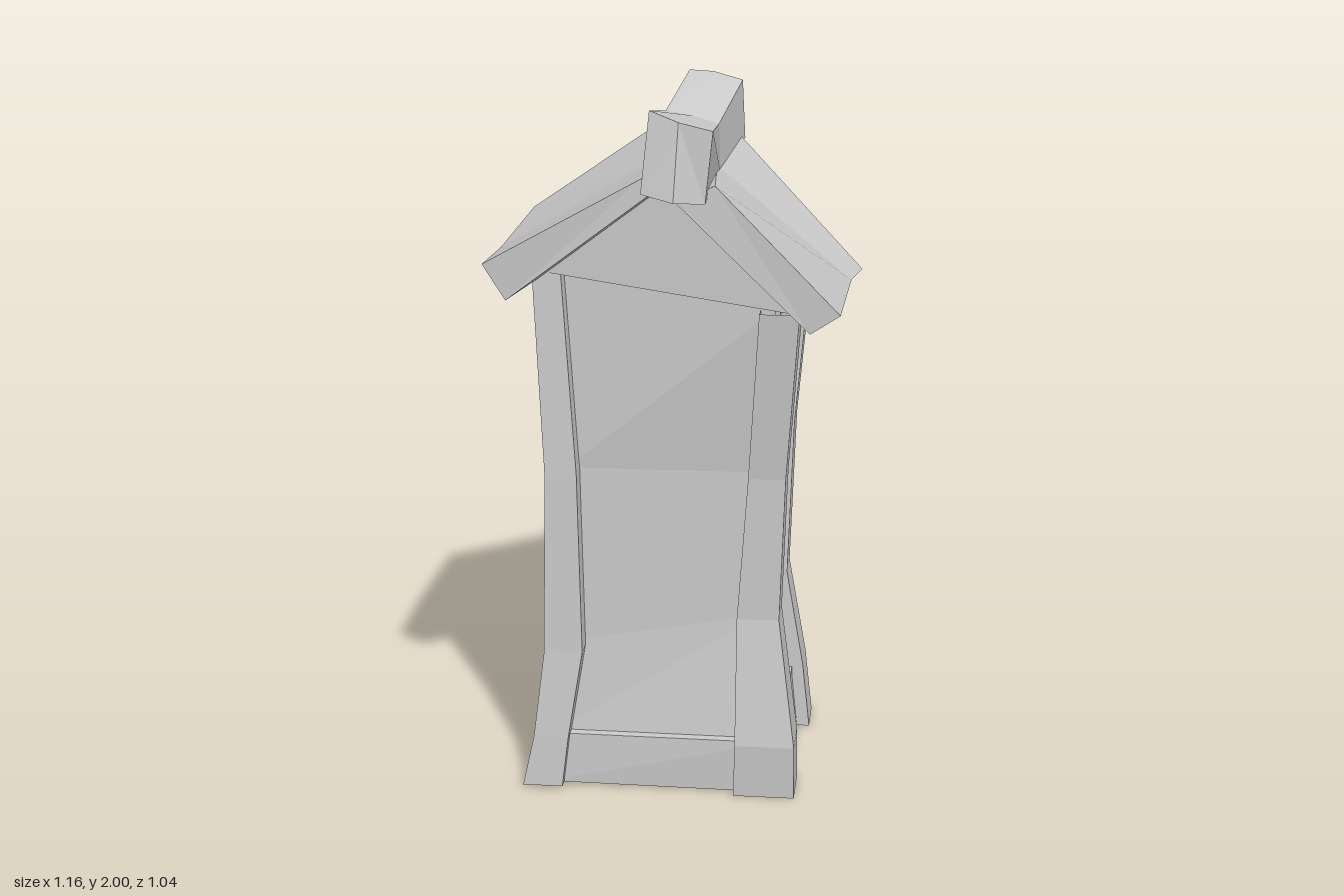
import * as THREE from 'three';

const TURN = 0.31; // the whole tower is twisted about y
const U = [Math.cos(TURN), 0, -Math.sin(TURN)]; // tower's own x direction
const V = [Math.sin(TURN), 0, Math.cos(TURN)]; // tower's own z direction
const add = (p, d, s) => p.map((v, i) => v + d[i] * s);
const mix = (a, b, t) => a.map((v, i) => v + (b[i] - v) * t);

const material = new THREE.MeshStandardMaterial({ color: 0xcccccc, flatShading: true, side: THREE.DoubleSide });

// Solid through matching cross-sections, wound outward by its signed volume
function loft(name, rows, capped = true) {
  const tris = [];
  const n = rows[0].length;
  const last = rows[rows.length - 1];
  for (let i = 0; i + 1 < rows.length; i++) {
    for (let j = 0; j < n; j++) {
      const k = (j + 1) % n;
      const a = rows[i][j], b = rows[i][k], c = rows[i + 1][k], d = rows[i + 1][j];
      tris.push([a, b, c], [a, c, d]);
    }
  }
  for (let j = 1; capped && j + 1 < n; j++) {
    tris.push([rows[0][0], rows[0][j + 1], rows[0][j]], [last[0], last[j], last[j + 1]]);
  }
  const origin = new THREE.Vector3(...mix(rows[0][0], last[2], 0.5));
  const vec = (p) => new THREE.Vector3(...p).sub(origin);
  const volume = tris.reduce((s, [a, b, c]) => s + vec(a).dot(vec(b).cross(vec(c))), 0);
  if (volume < 0) tris.forEach((t) => t.reverse());
  const geometry = new THREE.BufferGeometry();
  geometry.setAttribute('position', new THREE.Float32BufferAttribute(tris.flat(2), 3));
  geometry.computeVertexNormals();
  const mesh = new THREE.Mesh(geometry, material);
  mesh.name = name;
  return mesh;
}

// Outer edge of each corner post from ground to top, with its width (w) and depth (d)
const corners = {
  frontLeft: {
    sx: 1, sz: 1, w: [0.175, 0.17, 0.12, 0.105, 0.11], d: [0.15, 0.15, 0.12, 0.12, 0.16],
    edge: [[0.465, 0, 0.22], [0.467, 0.16, 0.23], [0.405, 0.53, 0.2], [0.42, 0.95, 0.2], [0.47, 1.435, 0.24]],
  },
  frontRight: {
    sx: -1, sz: 1, w: [0.115, 0.1, 0.11, 0.09, 0.08], d: [0.2, 0.19, 0.17, 0.17, 0.17],
    edge: [[-0.28, 0.01, 0.47], [-0.25, 0.16, 0.455], [-0.225, 0.42, 0.43], [-0.22, 0.95, 0.42], [-0.255, 1.53, 0.41]],
  },
  backRight: {
    sx: -1, sz: -1, w: [0.14, 0.13, 0.12, 0.11, 0.12], d: [0.15, 0.15, 0.14, 0.13, 0.14],
    edge: [[-0.49, 0.01, -0.22], [-0.465, 0.16, -0.22], [-0.42, 0.42, -0.2], [-0.4, 0.95, -0.19], [-0.43, 1.5, -0.22]],
  },
  backLeft: {
    sx: 1, sz: -1, w: [0.15, 0.14, 0.12, 0.11, 0.12], d: [0.14, 0.135, 0.12, 0.13, 0.15],
    edge: [[0.275, 0, -0.42], [0.255, 0.2, -0.41], [0.21, 0.5, -0.38], [0.22, 0.97, -0.4], [0.25, 1.42, -0.435]],
  },
};

// Walls run between two corners; "inward" points to the middle of the tower
const walls = [
  { name: 'front', a: 'frontRight', b: 'frontLeft', inward: V.map((v) => -v), recess: 0.065, gable: true },
  { name: 'back', a: 'backLeft', b: 'backRight', inward: V, recess: 0.065, gable: true },
  { name: 'left', a: 'frontLeft', b: 'backLeft', inward: U.map((v) => -v), recess: 0.055 },
  { name: 'right', a: 'backRight', b: 'frontRight', inward: U, recess: 0.055 },
];

// Thin slab rows between two corner edges, set in from the outer plane
function slabRows(a, b, inward, from, to, inset, thick) {
  const rows = [];
  for (let i = from; i <= to; i++) {
    const p = mix(a[i], b[i], 0.08), q = mix(a[i], b[i], 0.92);
    rows.push([add(p, inward, inset), add(q, inward, inset),
      add(q, inward, inset + thick), add(p, inward, inset + thick)]);
  }
  return rows;
}

export function createModel() {
  const model = new THREE.Group();
  model.name = 'tower';

  // Hollow corner posts with a waist and flared feet
  for (const [name, { sx, sz, w, d, edge }] of Object.entries(corners)) {
    model.add(loft(name + 'Post', edge.map((o, i) => {
      const side = add(o, U, -sx * w[i]);
      return [o, side, add(side, V, -sz * d[i]), add(o, V, -sz * d[i])];
    }), false));
  }

  // Recessed panels, skirting boards and gables
  for (const { name, a, b, inward, recess, gable } of walls) {
    const ea = corners[a].edge, eb = corners[b].edge;
    model.add(loft(name + 'Panel', slabRows(ea, eb, inward, 1, 4, recess, 0.015)));
    model.add(loft(name + 'Skirting', slabRows(ea, eb, inward, 0, 1, 0.035, 0.045)));
    if (gable) {
      const apex = mix(ea[4], eb[4], 0.5);
      apex[1] = 1.78;
      const face = [ea[4], eb[4], apex];
      model.add(loft(name + 'Gable', [face, face.map((p) => add(p, inward, 0.08))]));
    }
  }

  // Roof slabs: ridge top, eave top, eave bottom, ridge bottom, from front to back
  model.add(loft('rightRoof', [
    [[0.08, 1.81, 0.41], [-0.35, 1.56, 0.52], [-0.29, 1.46, 0.5], [0.1, 1.765, 0.41]],
    [[-0.08, 1.78, -0.08], [-0.47, 1.53, 0.18], [-0.43, 1.44, 0.18], [0, 1.72, -0.08]],
    [[-0.2, 1.84, -0.41], [-0.58, 1.56, -0.24], [-0.54, 1.49, -0.24], [-0.13, 1.76, -0.43]],
  ]));
  model.add(loft('leftRoof', [
    [[0.26, 1.79, 0.335], [0.58, 1.44, 0.22], [0.5, 1.385, 0.24], [0.16, 1.745, 0.375]],
    [[0.06, 1.75, -0.15], [0.4, 1.4, -0.36], [0.36, 1.32, -0.34], [0, 1.7, -0.13]],
    [[0, 1.79, -0.455], [0.38, 1.4, -0.51], [0.32, 1.375, -0.525], [-0.06, 1.72, -0.44]],
  ]));

  // Sagging ridge beam, from front to back
  model.add(loft('ridgeBeam', [
    [[0.195, 1.97, 0.43], [0.275, 1.945, 0.385], [0.255, 1.75, 0.39], [0.195, 1.76, 0.465], [0.105, 1.78, 0.475], [0.12, 2, 0.45]],
    [[0, 1.895, -0.11], [0.065, 1.87, -0.15], [0.07, 1.73, -0.15], [0, 1.72, -0.11], [-0.08, 1.76, -0.08], [-0.07, 1.91, -0.08]],
    [[-0.1, 1.965, -0.495], [-0.005, 1.945, -0.495], [0, 1.77, -0.505], [-0.1, 1.77, -0.525], [-0.2, 1.83, -0.495], [-0.165, 1.97, -0.465]],
  ]));

  return model;
}
